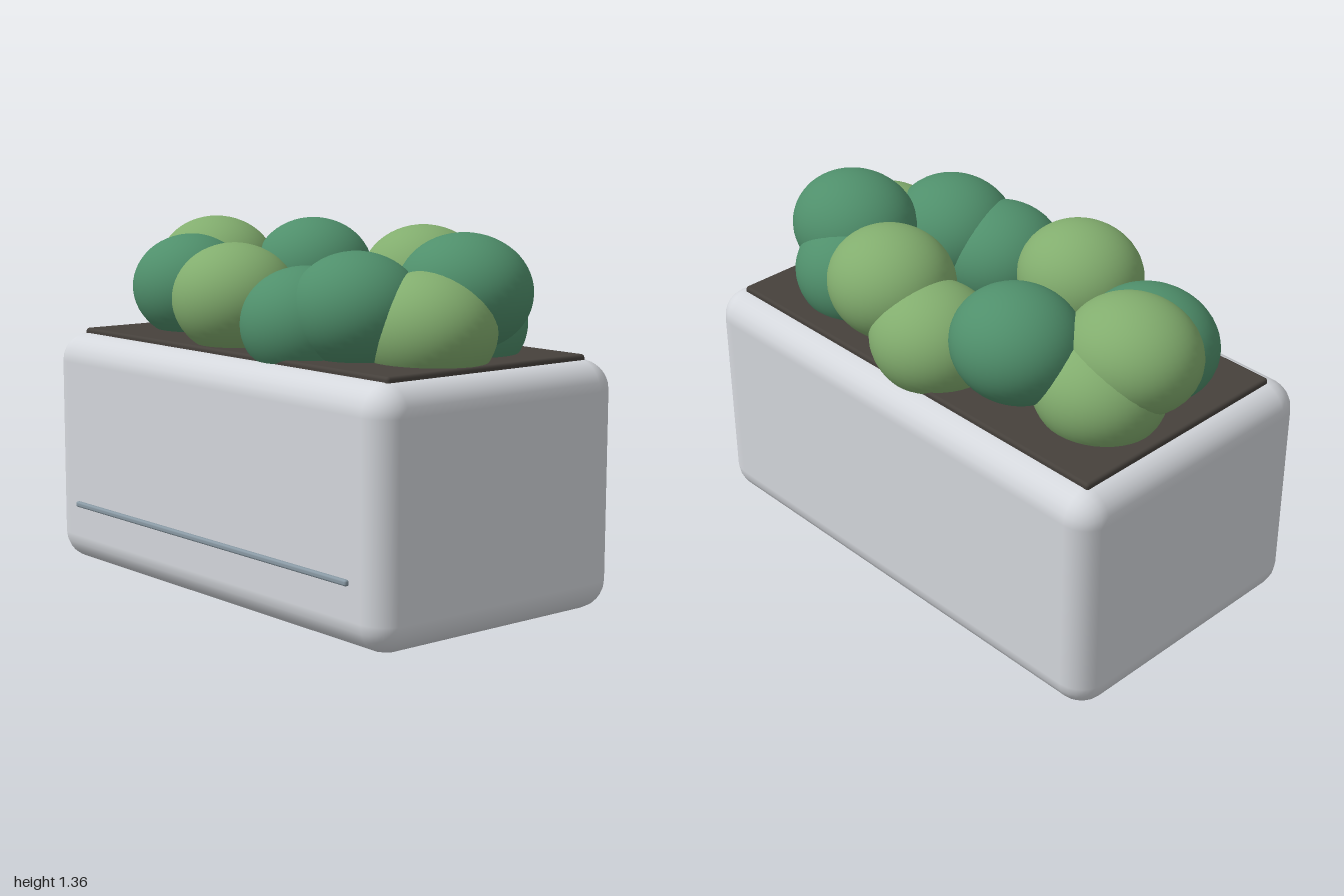
import * as THREE from 'three';
import { RoundedBoxGeometry } from 'three/addons/geometries/RoundedBoxGeometry.js';

const paint = (color) => new THREE.MeshStandardMaterial({ color });

export function createModel() {
  const group = new THREE.Group();
  group.name = 'planter';
  const lightLeaf = paint(0x82ad6e);
  const darkLeaf = paint(0x4f8f6b);

  const addBox = (name, size, radius, segments, position, material) => {
    const mesh = new THREE.Mesh(new RoundedBoxGeometry(...size, segments, radius), material);
    mesh.name = name;
    mesh.position.set(...position);
    group.add(mesh);
  };

  // Rounded pot, soil slab and thin trim strip on the front
  addBox('pot', [2, 0.91, 1.125], 0.11, 3, [0, 0.455, -0.0075], paint(0xd5d8dd));
  addBox('soil', [1.82, 0.06, 0.935], 0.012, 2, [0, 0.897, -0.0105], paint(0x46413c));
  addBox('trimStrip', [1.66, 0.022, 0.022], 0.008, 2, [0, 0.24, 0.558], paint(0x8a9aa5));

  // Ring of squashed foliage balls: x, y, z, x radius, dark or light
  const low = 1.03, mid = 1.092, high = 1.153;
  const bushes = [
    [-0.63, mid, 0.13, 0.257, true],
    [-0.70, high, -0.04, 0.257, false],
    [-0.64, low, -0.14, 0.25, false],
    [-0.375, high, -0.277, 0.248, true],
    [0, low, -0.322, 0.246, false],
    [0.243, high, -0.305, 0.247, false],
    [0.56, low, -0.2, 0.25, true],
    [0.668, high, -0.112, 0.257, true],
    [0.68, low, 0.07, 0.256, false],
    [0.468, mid, 0.215, 0.252, true],
    [0.262, low, 0.278, 0.248, true],
    [-0.13, mid, 0.297, 0.246, false],
  ];
  const ball = new THREE.SphereGeometry(1, 40, 28);
  bushes.forEach(([x, y, z, rx, dark], i) => {
    const bush = new THREE.Mesh(ball, dark ? darkLeaf : lightLeaf);
    bush.name = `bush${i + 1}`;
    bush.position.set(x, y, z);
    bush.scale.set(rx, 0.209, 0.228);
    group.add(bush);
  });

  return group;
}
